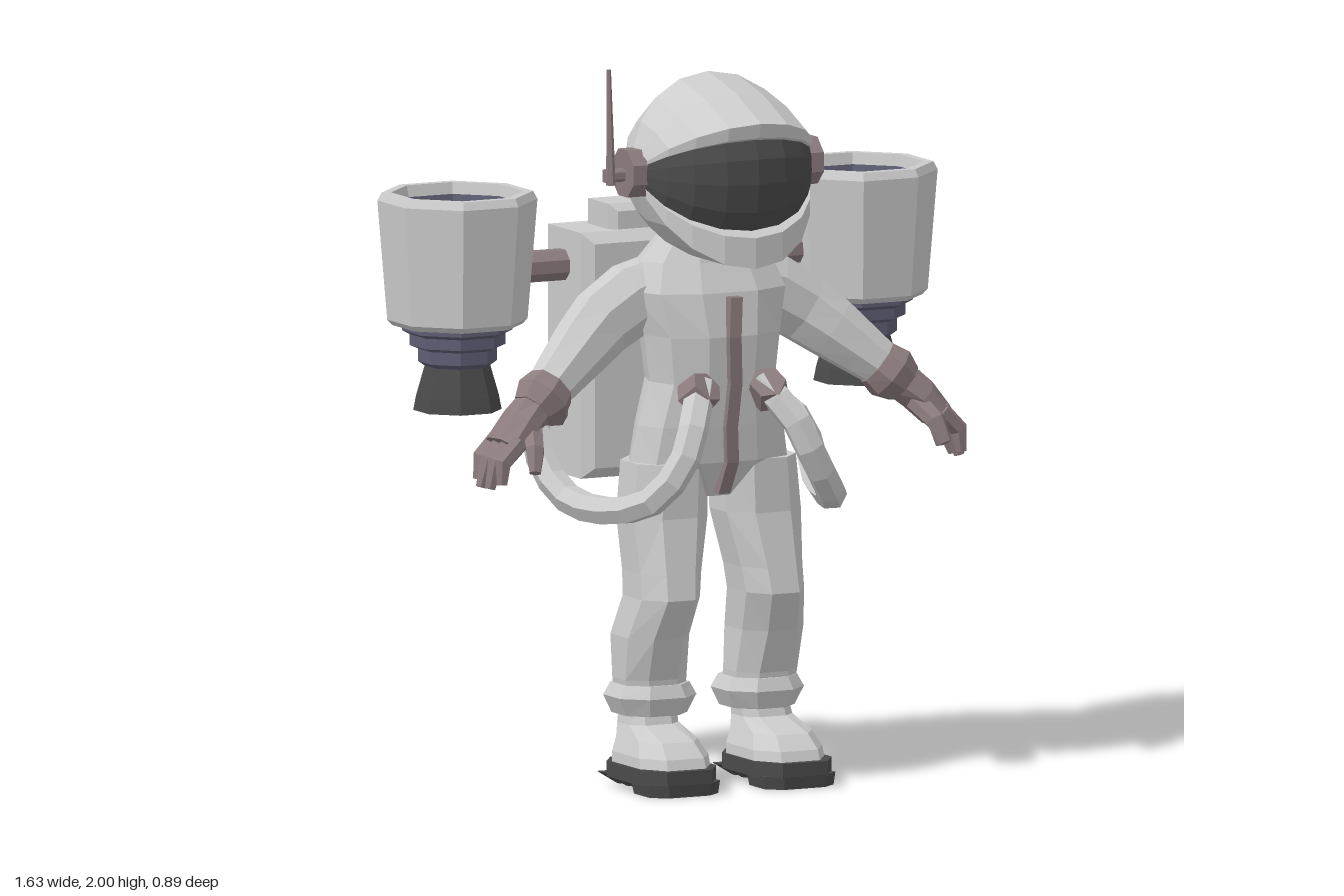
import * as THREE from 'three';

const SUIT = 0xcccccc, TRIM = 0x8c7c7e, DARK = 0x4a4a4a, STEEL = 0x5e5e74;
const V = (x, y, z) => new THREE.Vector3(x, y, z);

// Skin a list of point rings (counter-clockwise seen from the end of the path)
function loft(rings, { closed = true, caps = true } = {}) {
  const pos = [], n = rings[0].length;
  const tri = (...p) => p.forEach(q => pos.push(q.x, q.y, q.z));
  for (let i = 0; i < rings.length - 1; i++) {
    for (let j = 0; j < (closed ? n : n - 1); j++) {
      const k = (j + 1) % n, a = rings[i], b = rings[i + 1];
      tri(a[j], a[k], b[j]);
      tri(a[k], b[k], b[j]);
    }
  }
  if (closed && caps) {
    const s = rings[0], e = rings[rings.length - 1];
    for (let j = 1; j < n - 1; j++) {
      tri(s[0], s[j + 1], s[j]);
      tri(e[0], e[j], e[j + 1]);
    }
  }
  const g = new THREE.BufferGeometry();
  g.setAttribute('position', new THREE.Float32BufferAttribute(pos, 3));
  return g;
}

// Upright body from rows of [y, centre x, half width, back z, front z]
function stack(rows, n = 8, square = 0.85) {
  const soft = v => Math.sign(v) * Math.abs(v) ** square;
  return loft(rows.map(([y, cx, hw, z0, z1]) => Array.from({ length: n }, (_, j) => {
    const a = (j + 0.5) / n * Math.PI * 2;
    return V(cx + hw * soft(Math.sin(a)), y, (z0 + z1) / 2 + (z1 - z0) / 2 * soft(Math.cos(a)));
  })));
}

// Limb from rows of [x, y, z, half width along z, half thickness]
function limb(rows, n = 8) {
  const c = rows.map(r => V(r[0], r[1], r[2]));
  return loft(rows.map((r, i) => {
    const t = c[Math.min(i + 1, c.length - 1)].clone().sub(c[Math.max(i - 1, 0)]).normalize();
    const u = V(0, 0, 1).addScaledVector(t, -t.z).normalize();
    const v = t.clone().cross(u);
    return Array.from({ length: n }, (_, j) => {
      const a = (j + 0.5) / n * Math.PI * 2;
      return c[i].clone().addScaledVector(u, r[3] * Math.cos(a)).addScaledVector(v, r[4] * Math.sin(a));
    });
  }));
}

// Box with chamfered edges
function bevelBox(w, h, d, b, x = 0, y = 0, z = 0) {
  const p = w / 2 - b, q = h / 2 - b;
  const s = new THREE.Shape([[-p, -q], [p, -q], [p, q], [-p, q]].map(a => new THREE.Vector2(...a)));
  const g = new THREE.ExtrudeGeometry(s, { depth: d - 2 * b, bevelSize: b, bevelThickness: b, bevelSegments: 1 });
  return g.center().translate(x, y, z);
}

// Octagonal turned part; radii are measured to the flats
function turned(profile, x, z) {
  const pts = profile.map(([r, y]) => new THREE.Vector2(r / Math.cos(Math.PI / 8), y));
  return new THREE.LatheGeometry(pts, 8).rotateY(Math.PI / 8).translate(x, 0, z);
}

const barX = (r, len, x, y, z) =>
  new THREE.CylinderGeometry(r, r, len, 8).rotateY(Math.PI / 8).rotateZ(Math.PI / 2).translate(x, y, z);

function mirrored(geo) {
  const g = geo.clone(), p = g.attributes.position;
  for (let i = 0; i < p.count; i += 3) {
    const t = [0, 2, 1].map(k => V().fromBufferAttribute(geo.attributes.position, i + k));
    t.forEach((q, k) => p.setXYZ(i + k, -q.x, q.y, q.z));
  }
  return g;
}

export function createModel() {
  const model = new THREE.Group();
  model.name = 'jetpackAstronaut';
  const mats = {};
  const mat = color => mats[color] ??= new THREE.MeshStandardMaterial({ color, flatShading: true, side: THREE.DoubleSide });
  const add = (name, geo, color = SUIT) => {
    const g = geo.index ? geo.toNonIndexed() : geo;
    g.computeVertexNormals();
    const m = new THREE.Mesh(g, mat(color));
    m.name = name;
    model.add(m);
    return g;
  };
  const pair = (name, geo, color) => {
    const g = add(name + 'Left', geo, color);
    add(name + 'Right', mirrored(g), color);
  };

  // Helmet and visor: side profiles [z, y] shrinking toward the ears
  const globe = profile => loft([-75, -58, -40, -20, 0, 20, 40, 58, 75].map(deg => {
    const a = deg * Math.PI / 180, s = Math.cos(a);
    return profile.map(([z, y]) => V(0.26 * Math.sin(a), 1.71 + (y - 1.71) * s, 0.19 + (z - 0.19) * s));
  }), { closed: false });
  add('helmet', globe([[0.39, 1.56], [0.42, 1.54], [0.42, 1.455], [0.2, 1.455], [0.08, 1.49], [0.0, 1.55],
    [-0.06, 1.67], [-0.02, 1.86], [0.13, 1.965], [0.3, 1.925], [0.45, 1.86], [0.44, 1.82], [0.41, 1.81]]));
  add('visor', globe([[0.41, 1.82], [0.437, 1.76], [0.44, 1.69], [0.425, 1.61], [0.39, 1.55]]), DARK);
  pair('earpiece', barX(0.07, 0.06, 0.262, 1.71, 0.19), TRIM);
  add('antennaMount', bevelBox(0.07, 0.035, 0.035, 0.008, -0.315, 1.705, 0.19), TRIM);
  add('antenna', new THREE.CylinderGeometry(0.006, 0.013, 0.32, 6).rotateZ(0.02).translate(-0.337, 1.84, 0.2), TRIM);

  // Torso and front zip
  add('torso', stack([
    [0.8, 0, 0.07, 0.07, 0.2], [0.9, 0, 0.24, 0, 0.26], [1.0, 0, 0.22, 0, 0.27], [1.12, 0, 0.185, 0.0, 0.28],
    [1.25, 0, 0.2, -0.015, 0.29], [1.37, 0, 0.23, -0.015, 0.27], [1.45, 0, 0.2, -0.01, 0.23],
    [1.53, 0, 0.13, 0.03, 0.2]], 10));
  const zip = [[0.81, 0.225], [0.9, 0.262], [1.0, 0.272], [1.12, 0.283], [1.25, 0.293], [1.36, 0.285]];
  add('zip', loft(zip.map(([y, z], i) => {
    const x = i % 2 ? 0.004 : -0.004;
    return [V(x - 0.018, y, z + 0.012), V(x - 0.018, y, z - 0.05), V(x + 0.018, y, z - 0.05), V(x + 0.018, y, z + 0.012)].reverse();
  })), TRIM);

  // Legs and trouser cuffs
  pair('leg', stack([
    [0.2, 0.165, 0.09, 0.02, 0.19], [0.3, 0.17, 0.1, 0.02, 0.2], [0.42, 0.175, 0.1, 0, 0.245],
    [0.53, 0.16, 0.095, 0.03, 0.295], [0.6, 0.155, 0.1, 0.03, 0.28], [0.75, 0.143, 0.122, 0.015, 0.25],
    [0.9, 0.135, 0.115, 0.01, 0.25]]));
  pair('trouserCuff', stack([[0.2, 0.165, 0.1, 0, 0.2], [0.25, 0.165, 0.125, -0.015, 0.22], [0.285, 0.165, 0.105, 0, 0.205]]));

  // Boots with treaded soles
  pair('boot', stack([
    [0.06, 0.175, 0.115, 0.025, 0.36], [0.1, 0.175, 0.112, 0.025, 0.345], [0.14, 0.175, 0.095, 0.03, 0.3],
    [0.175, 0.175, 0.08, 0.04, 0.18], [0.23, 0.17, 0.075, 0.04, 0.16]], 8, 0.7));
  pair('sole', stack([[0.03, 0.177, 0.122, 0.015, 0.378], [0.072, 0.177, 0.122, 0.015, 0.378]], 8, 0.6), DARK);
  pair('toeTread', stack([[0, 0.177, 0.11, 0.2, 0.37], [0.035, 0.177, 0.115, 0.19, 0.375]], 8, 0.6), DARK);
  for (const z of [0.045, 0.1, 0.155])
    pair('heelTread', new THREE.CylinderGeometry(0.028, 0.014, 0.035, 4).rotateY(Math.PI / 4).scale(5.6, 1, 1).translate(0.177, 0.0175, z), DARK);

  // Arms and gloves
  pair('arm', limb([
    [0.1, 1.39, 0.09, 0.08, 0.09], [0.21, 1.345, 0.085, 0.085, 0.105], [0.31, 1.285, 0.095, 0.08, 0.1],
    [0.38, 1.23, 0.12, 0.078, 0.09], [0.46, 1.165, 0.15, 0.07, 0.075], [0.54, 1.1, 0.182, 0.06, 0.06]]));
  pair('gloveCuff', limb([[0.5, 1.13, 0.168, 0.068, 0.07], [0.535, 1.1, 0.18, 0.085, 0.08], [0.57, 1.07, 0.19, 0.065, 0.06]]), TRIM);
  pair('palm', limb([[0.55, 1.09, 0.185, 0.058, 0.055], [0.61, 1.04, 0.195, 0.08, 0.05], [0.665, 0.98, 0.2, 0.088, 0.04]]), TRIM);
  [[0.135, 0.71, 0.885], [0.18, 0.725, 0.87], [0.225, 0.72, 0.87], [0.268, 0.705, 0.885]].forEach(([z, x, y]) =>
    pair('finger', limb([[0.645, 1.0, z, 0.024, 0.027], [0.7, 0.945, z, 0.025, 0.026], [x, y, z + 0.005, 0.016, 0.016]], 6), TRIM));
  pair('thumb', limb([[0.59, 1.03, 0.23, 0.025, 0.035], [0.615, 0.98, 0.295, 0.024, 0.03], [0.63, 0.92, 0.325, 0.015, 0.018]], 6), TRIM);

  // Hoses from the chest round to the pack
  const path = [[0.09, 1.12, 0.26], [0.15, 1.03, 0.345], [0.2, 0.92, 0.37], [0.27, 0.82, 0.33], [0.34, 0.78, 0.2],
    [0.385, 0.8, 0.03], [0.41, 0.9, -0.08], [0.37, 1.0, -0.17], [0.28, 1.02, -0.2]].map(p => V(...p));
  pair('hose', new THREE.TubeGeometry(new THREE.CatmullRomCurve3(path), 14, 0.042, 6));
  pair('hoseChestFitting', new THREE.CylinderGeometry(0.05, 0.056, 0.07, 6).rotateX(0.75).rotateZ(0.5).translate(0.105, 1.1, 0.285), TRIM);
  pair('hosePackFitting', barX(0.06, 0.06, 0.31, 1.02, -0.2), TRIM);

  // Backpack
  add('pack', bevelBox(0.58, 0.68, 0.255, 0.03, 0, 1.17, -0.168));
  add('packTop', bevelBox(0.38, 0.12, 0.16, 0.02, 0, 1.52, -0.16));
  add('ventPanel', bevelBox(0.33, 0.22, 0.08, 0.015, 0, 1.335, -0.3));
  add('ventFrame', bevelBox(0.27, 0.16, 0.03, 0.008, 0, 1.335, -0.34));
  for (const y of [1.3, 1.37]) add('ventSlat', barX(0.016, 0.22, 0, y, -0.355), TRIM);
  add('lowerPack', bevelBox(0.45, 0.33, 0.12, 0.03, 0, 1.025, -0.305));
  add('rearPod', bevelBox(0.4, 0.15, 0.13, 0.04, 0, 0.99, -0.38), TRIM);

  // Thrusters
  const X = 0.614, Z = -0.175;
  pair('thrusterArm', barX(0.045, 0.24, 0.38, 1.41, Z), TRIM);
  pair('thrusterShell', turned([[0, 1.265], [0.165, 1.265], [0.178, 1.28], [0.203, 1.61], [0.192, 1.632], [0.168, 1.632], [0.162, 1.6]], X, Z));
  pair('intakeLining', turned([[0.166, 1.615], [0.15, 1.54], [0.15, 1.5]], X, Z), STEEL);
  pair('intakeFloor', turned([[0.155, 1.52], [0, 1.52]], X, Z), DARK);
  pair('fanHub', new THREE.CylinderGeometry(0.025, 0.04, 0.07, 8).translate(X, 1.565, Z), TRIM);
  const blade = new THREE.Shape();
  blade.moveTo(0.02, -0.012);
  blade.quadraticCurveTo(0.09, -0.035, 0.15, 0.015);
  blade.lineTo(0.135, 0.06);
  blade.quadraticCurveTo(0.08, 0.005, 0.02, 0.012);
  for (let i = 0; i < 7; i++)
    pair('fanBlade', new THREE.ExtrudeGeometry(blade, { depth: 0.008, bevelEnabled: false, curveSegments: 4 })
      .rotateX(-Math.PI / 2 + 0.3).rotateY(i / 7 * Math.PI * 2).translate(X, 1.56, Z), TRIM);
  pair('nozzleCollar', turned([[0.08, 1.15], [0.1, 1.165], [0.1, 1.2], [0.122, 1.21], [0.122, 1.24], [0.14, 1.25], [0.14, 1.27]], X, Z), STEEL);
  pair('nozzle', turned([[0, 1.13], [0.055, 1.13], [0.07, 1.03], [0.112, 1.03], [0.105, 1.07], [0.08, 1.165]], X, Z), DARK);

  return model;
}
